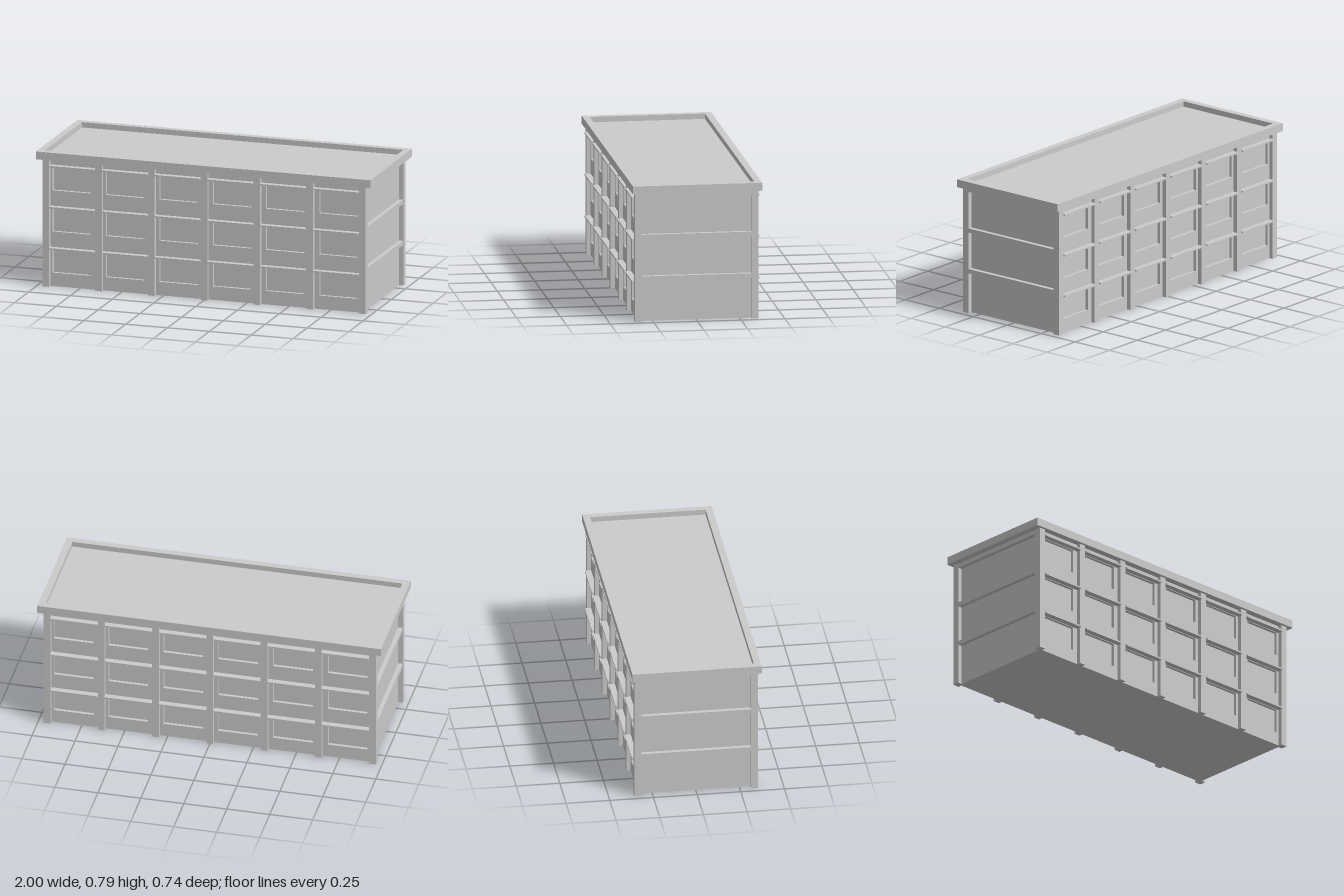
import * as THREE from 'three';

const material = new THREE.MeshStandardMaterial({ color: 0xcccccc, flatShading: true });

// Box given by its min and max corners
function box(parent, name, x0, x1, y0, y1, z0, z1) {
  const mesh = new THREE.Mesh(new THREE.BoxGeometry(x1 - x0, y1 - y0, z1 - z0), material);
  mesh.position.set((x0 + x1) / 2, (y0 + y1) / 2, (z0 + z1) / 2);
  mesh.name = name;
  parent.add(mesh);
  return mesh;
}

// Rectangle outline centred on x, usable as a shape or a hole
function rect(Type, cx, w, y0, y1) {
  return new Type([[-1, y0], [1, y0], [1, y1], [-1, y1]].map(([s, y]) => new THREE.Vector2(cx + s * w / 2, y)));
}

function extrude(parent, name, shape, depth) {
  const geometry = new THREE.ExtrudeGeometry(shape, { depth, bevelEnabled: false });
  const mesh = new THREE.Mesh(geometry, material);
  mesh.name = name;
  parent.add(mesh);
  return mesh;
}

const W = 0.965, D = 0.354, H = 0.745;      // half width, half depth, wall height
const WALL_X = 0.94, WALL_Z = 0.33;         // recessed wall planes
const BAY = 0.3155, POST = 0.04, BAYS = 6, FLOOR = 0.241, RECESS = 0.018;

// Long side: wall with sunken windows, posts and a ledge above each window
function createFacade() {
  const facade = new THREE.Group();
  const wall = rect(THREE.Shape, 0, 2 * WALL_X, 0, H);
  for (let bay = 0; bay < BAYS; bay++) {
    const cx = (bay - (BAYS - 1) / 2) * BAY;
    for (let floor = 0; floor < 3; floor++) {
      const y = floor * FLOOR;
      wall.holes.push(rect(THREE.Path, (bay - (BAYS - 1) / 2) * 0.319, 0.23, y + 0.079, y + 0.218));
      const half = (BAY - POST) / 2;
      box(facade, 'windowLedge', cx - half, cx + half, y + 0.221, y + 0.23, WALL_Z, 0.365);
    }
  }
  extrude(facade, 'windowWall', wall, RECESS).position.z = WALL_Z - RECESS;
  for (let i = 0; i <= BAYS; i++) {
    const cx = (i - BAYS / 2) * BAY;
    const corner = i === 0 || i === BAYS;
    box(facade, corner ? 'cornerPost' : 'post', cx - POST / 2, cx + POST / 2, 0, H, corner ? 0.314 : WALL_Z, D);
  }
  return facade;
}

// Short side: horizontal bands between three recessed panels
function createEnd() {
  const end = new THREE.Group();
  for (let floor = 0; floor < 3; floor++) {
    const y = 0.237 + floor * FLOOR;
    box(end, 'endBand', WALL_X - 0.005, W, y, y + 0.025, -0.314, 0.314);
  }
  return end;
}

export function createModel() {
  const model = new THREE.Group();
  model.name = 'building';

  // Solid core behind the windows and end panels
  box(model, 'core', -WALL_X, WALL_X, 0, H, RECESS - WALL_Z, WALL_Z - RECESS);

  for (const turn of [0, Math.PI]) {
    const facade = createFacade();
    facade.name = turn ? 'backFacade' : 'frontFacade';
    facade.rotation.y = turn;
    const end = createEnd();
    end.name = turn ? 'rightEnd' : 'leftEnd';
    end.rotation.y = turn;
    model.add(facade, end);
  }

  // Overhanging parapet around a sunken roof
  const rim = rect(THREE.Shape, 0, 2, -0.37, 0.37);
  rim.holes.push(rect(THREE.Path, 0, 1.92, -0.33, 0.33));
  const parapet = extrude(model, 'parapet', rim, 0.046);
  parapet.rotation.x = -Math.PI / 2;
  parapet.position.y = H;
  box(model, 'roof', -0.96, 0.96, H, 0.76, -0.33, 0.33);

  return model;
}
